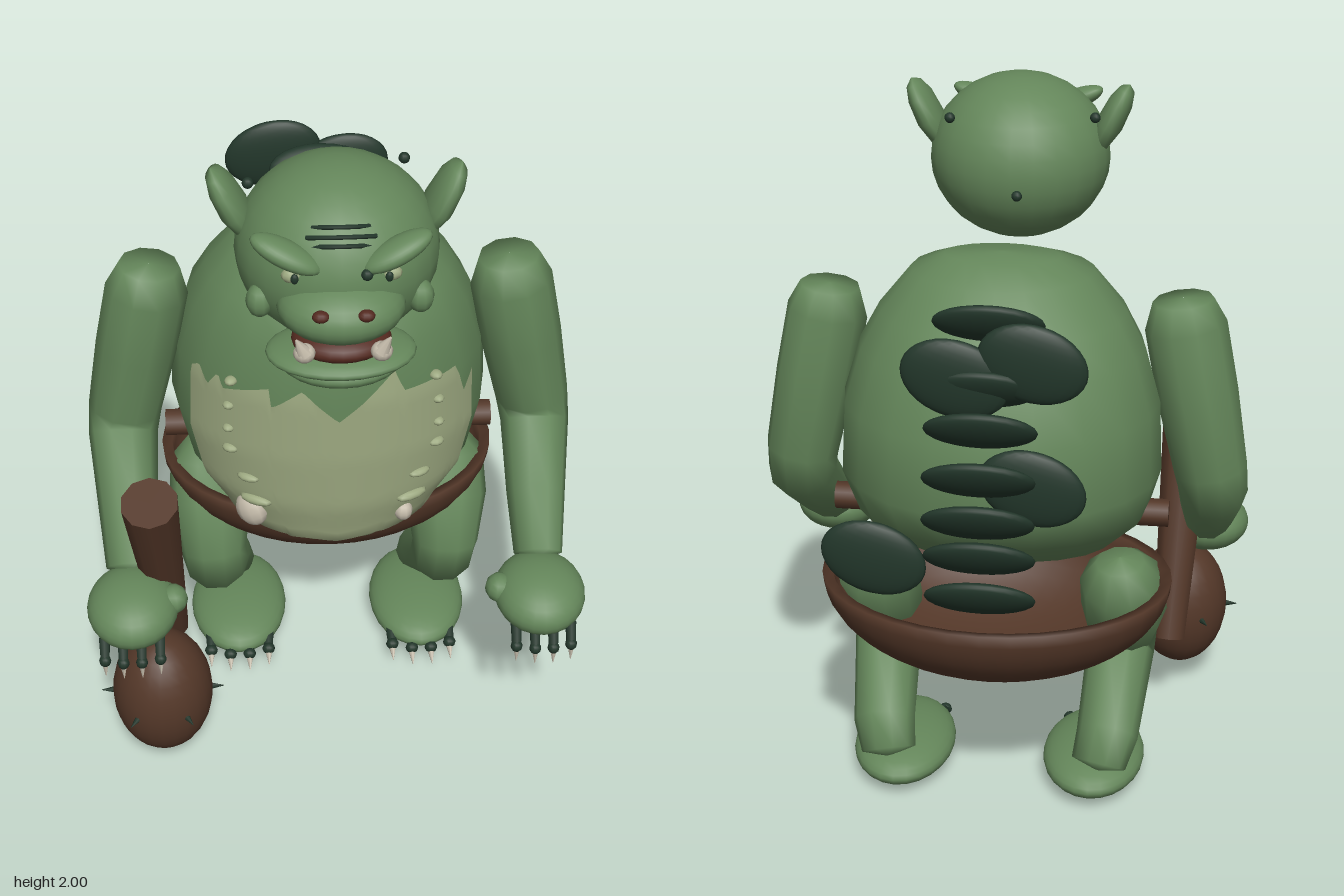
import * as THREE from 'three';

const material = (name, color) => {
  const m = new THREE.MeshStandardMaterial({ color });
  m.name = name;
  return m;
};
const V = (x, y, z) => new THREE.Vector3(x, y, z);

// Skin a list of point rings; rings run upward along the part
function loft(rings, closed) {
  const n = rings[0].length, pos = [], idx = [];
  rings.forEach(r => r.forEach(p => pos.push(p.x, p.y, p.z)));
  for (let i = 0; i < rings.length - 1; i++)
    for (let j = 0; j < (closed ? n : n - 1); j++) {
      const k = (j + 1) % n, a = i * n + j, b = i * n + k, c = a + n, d = b + n;
      idx.push(a, b, c, b, d, c);
    }
  const g = new THREE.BufferGeometry();
  g.setAttribute('position', new THREE.Float32BufferAttribute(pos, 3));
  g.setIndex(idx);
  g.computeVertexNormals();
  return g;
}

// Limb along points [x, y, z, radius]
function limbGeometry(pts, sides = 10) {
  const c = pts.map(p => V(p[0], p[1], p[2]));
  const rings = pts.map((p, i) => {
    const T = c[Math.min(i + 1, c.length - 1)].clone().sub(c[Math.max(i - 1, 0)]).normalize();
    const U = V(1, 0, 0).addScaledVector(T, -T.x).normalize();
    const W = T.clone().cross(U);
    return Array.from({ length: sides }, (_, j) => {
      const a = j / sides * Math.PI * 2;
      return c[i].clone().addScaledVector(U, Math.cos(a) * p[3]).addScaledVector(W, Math.sin(a) * p[3]);
    });
  });
  return loft(rings, true);
}

// Torso sections: height, front z, back z, half width, forward droop
const TORSO = [
  [0.68, 0.051, 0.049, 0.001, 0], [0.69, 0.17, -0.08, 0.17, 0.04], [0.72, 0.235, -0.29, 0.31, 0.05],
  [0.85, 0.272, -0.43, 0.415, 0.03], [1.0, 0.285, -0.5, 0.455, 0], [1.2, 0.285, -0.48, 0.445, 0],
  [1.35, 0.265, -0.42, 0.4, 0], [1.45, 0.235, -0.36, 0.345, 0], [1.56, 0.14, -0.25, 0.255, 0],
  [1.605, 0.02, -0.16, 0.16, 0], [1.615, -0.069, -0.071, 0.001, 0]];
function torsoPoint(a, y, grow = 0) {
  let i = 0;
  while (i < TORSO.length - 2 && y > TORSO[i + 1][0]) i++;
  const A = TORSO[i], B = TORSO[i + 1], t = (y - A[0]) / (B[0] - A[0]);
  const [h, f, b, w, d] = A.map((v, k) => v + (B[k] - v) * t);
  return V((w + grow) * Math.sin(a), h - d * Math.cos(a) - (y < 0.75 ? grow : 0),
    (f + b) / 2 + ((f - b) / 2 + grow) * Math.cos(a));
}

// Ragged upper edge of the belly: x, y
const EDGE = [[-0.4, 1.2], [-0.37, 1.235], [-0.34, 1.19], [-0.32, 1.24], [-0.3, 1.2], [-0.18, 1.24], [-0.17, 1.18],
  [-0.09, 1.245], [0.01, 1.145], [0.17, 1.29], [0.19, 1.22], [0.34, 1.225], [0.36, 1.12], [0.4, 1.2]];
function edgeHeight(x) {
  let i = 0;
  while (i < EDGE.length - 2 && x > EDGE[i + 1][0]) i++;
  const [A, B] = [EDGE[i], EDGE[i + 1]];
  return A[1] + (B[1] - A[1]) * THREE.MathUtils.clamp((x - A[0]) / (B[0] - A[0]), 0, 1);
}

export function createModel() {
  const model = new THREE.Group();
  const skin = material('green skin', 0x64865a), pale = material('pale belly', 0x9ca880);
  const wood = material('brown wood', 0x533728), dark = material('dark leaf', 0x22362a);
  const bone = material('bone', 0xc4bbaa), mouthMat = material('mouth', 0x542a20);
  wood.side = pale.side = THREE.DoubleSide;

  const add = (name, geo, mat) => {
    const m = new THREE.Mesh(geo, mat);
    m.name = name;
    model.add(m);
    return m;
  };
  const unit = new THREE.SphereGeometry(1, 24, 16), small = new THREE.SphereGeometry(1, 10, 8);
  const ball = (name, mat, p, r, rot = [0, 0, 0]) => {
    const m = add(name, Math.max(...r) > 0.06 ? unit : small, mat);
    m.position.set(...p);
    m.scale.set(...r);
    m.rotation.set(...rot);
    return m;
  };
  const rod = (name, mat, a, b, r1, r2, sides = 8) => {
    const A = V(...a), D = V(...b).sub(A);
    const m = add(name, new THREE.CylinderGeometry(r2, r1, D.length(), sides), mat);
    m.position.copy(A).addScaledVector(D, 0.5);
    m.quaternion.setFromUnitVectors(V(0, 1, 0), D.normalize());
    return m;
  };

  // Torso and belly
  add('torso', loft(TORSO.map(r => Array.from({ length: 20 }, (_, j) => torsoPoint(j / 10 * Math.PI, r[0]))), true), skin);
  const rows = 20, cols = 80, bellyRings = [];
  for (let i = 0; i <= rows; i++) {
    bellyRings.push(Array.from({ length: cols + 1 }, (_, j) => {
      const a = (j / cols * 2 - 1) * 1.05, top = edgeHeight(0.445 * Math.sin(a));
      return torsoPoint(a, 0.682 + (top - 0.682) * i / rows, 0.007);
    }));
  }
  add('belly', loft(bellyRings, false), pale);
  for (const s of [-1, 1]) {
    for (const [x, y, w, h] of [[0.29, 1.23, 0.018, 0.012], [0.29, 1.15, 0.018, 0.012], [0.29, 1.07, 0.018, 0.012],
      [0.285, 1.0, 0.025, 0.013], [0.25, 0.92, 0.035, 0.013], [0.24, 0.85, 0.05, 0.016]]) {
      const p = torsoPoint(s * Math.asin(x / 0.45), y);
      ball('bellyFold', pale, [p.x, p.y, p.z + 0.005], [w, h, 0.02], [0, s * 0.5, 0]);
    }
  }
  ball('bellyWart', bone, [-0.235, 0.77, 0.2], [0.048, 0.055, 0.035], [0, -0.5, 0.4]);
  ball('bellyWart', bone, [0.2, 0.755, 0.21], [0.028, 0.032, 0.03]);

  // Bowl-shaped hip wrap and the stick through it
  const profile = [];
  for (let i = 0; i <= 12; i++) {
    const t = i / 12 * Math.PI / 2;
    profile.push(new THREE.Vector2(0.5 * Math.sin(t), -0.29 * Math.cos(t)));
  }
  for (let i = 12; i >= 0; i--) {
    const t = i / 12 * Math.PI / 2;
    profile.push(new THREE.Vector2(0.47 * Math.sin(t), -0.26 * Math.cos(t)));
  }
  const wrap = add('hipWrap', new THREE.LatheGeometry(profile, 36), wood);
  wrap.position.set(0, 0.7, -0.21);
  wrap.scale.z = 0.76;
  rod('beltStick', wood, [-0.48, 0.858, -0.1], [0.48, 0.858, -0.1], 0.04, 0.04, 10);

  // Head
  ball('head', skin, [0, 1.765, 0.345], [0.26, 0.237, 0.255]);
  ball('muzzle', skin, [0, 1.715, 0.535], [0.16, 0.085, 0.135]);
  ball('mouth', mouthMat, [0, 1.625, 0.55], [0.125, 0.042, 0.1]);
  ball('lowerLip', skin, [0, 1.578, 0.54], [0.19, 0.035, 0.125]);
  ball('chin', skin, [0, 1.548, 0.52], [0.16, 0.048, 0.13]);
  for (const s of [-1, 1]) {
    ball('nostril', mouthMat, [s * 0.055, 1.752, 0.645], [0.022, 0.015, 0.018]);
    ball('cheek', skin, [s * 0.2, 1.7, 0.49], [0.035, 0.045, 0.04]);
    ball('eye', pale, [s * 0.12, 1.815, 0.555], [0.028, 0.02, 0.02]);
    ball('pupil', dark, [s * 0.115, 1.815, 0.573], [0.01, 0.014, 0.008]);
    ball('brow', skin, [s * 0.135, 1.873, 0.55], [0.095, 0.03, 0.045], [0, s * 0.25, s * 0.42]);
    ball('tuskBase', bone, [s * 0.095, 1.635, 0.63], [0.028, 0.026, 0.025]);
    rod('tusk', bone, [s * 0.095, 1.64, 0.635], [s * 0.115, 1.685, 0.645], 0.022, 0.003);
    // Pointed ear
    const ear = add('ear', limbGeometry([[0, -0.11, 0, 0.001], [0, -0.09, 0, 0.05], [0, -0.02, 0, 0.078],
      [0, 0.05, 0, 0.07], [0, 0.09, 0, 0.045], [0, 0.108, 0, 0.001]], 14), skin);
    ear.position.set(s * 0.265, 1.885, 0.325);
    ear.scale.x = 0.5;
    ear.rotation.z = -s * 0.45;
  }
  for (const [y, z, w] of [[1.897, 0.558, 0.07], [1.915, 0.545, 0.085], [1.933, 0.528, 0.07]]) {
    const curve = new THREE.QuadraticBezierCurve3(V(-w, y - 0.01, z - 0.015), V(0, y + 0.01, z + 0.02), V(w, y - 0.01, z - 0.015));
    add('foreheadWrinkle', new THREE.TubeGeometry(curve, 10, 0.006, 5), dark);
  }
  for (const p of [[-0.02, 1.72, 0.085], [0.18, 1.91, 0.18], [-0.22, 1.9, 0.265], [0.06, 1.83, 0.585]])
    ball('headWart', dark, p, [0.015, 0.015, 0.015]);

  // Limbs, mirrored
  for (const s of [-1, 1]) {
    const side = pts => pts.map(([x, y, z, r]) => [x * s, y, z, r]);
    add('arm', limbGeometry(side([[0.495, 1.48, -0.015, 0.001], [0.495, 1.475, -0.015, 0.085], [0.505, 1.4, -0.015, 0.115],
      [0.545, 1.2, -0.025, 0.115], [0.59, 0.98, -0.035, 0.105], [0.6, 0.9, -0.01, 0.1],
      [0.59, 0.76, 0.16, 0.085], [0.585, 0.65, 0.3, 0.07], [0.585, 0.64, 0.31, 0.001]])), skin);
    ball('hand', skin, [s * 0.58, 0.592, 0.4], [0.13, 0.085, 0.145], [0.1, 0, 0]);
    ball('thumb', skin, [s * 0.465, 0.61, 0.395], [0.042, 0.042, 0.045]);
    for (let i = 0; i < 4; i++) {
      const x = s * (0.505 + i * 0.052), z = 0.5 - Math.abs(i - 1.5) * 0.012;
      rod('finger', dark, [x, 0.55, z], [x, 0.495, z + 0.035], 0.017, 0.014, 6);
      ball('knuckle', dark, [x, 0.495, z + 0.035], [0.017, 0.018, 0.018]);
      rod('fingerClaw', bone, [x, 0.49, z + 0.035], [x, 0.445, z + 0.045], 0.011, 0.001, 6);
    }
    add('leg', limbGeometry(side([[0.35, 0.75, -0.18, 0.001], [0.35, 0.735, -0.18, 0.07], [0.355, 0.67, -0.165, 0.12],
      [0.36, 0.55, -0.1, 0.125], [0.355, 0.43, -0.02, 0.1], [0.35, 0.37, -0.04, 0.1],
      [0.33, 0.2, -0.25, 0.09], [0.31, 0.13, -0.3, 0.08], [0.31, 0.11, -0.31, 0.001]])), skin);
    ball('foot', skin, [s * 0.285, 0.073, -0.155], [0.15, 0.066, 0.225]);
    for (let i = 0; i < 4; i++) {
      const x = s * (0.195 + i * 0.06), z = 0.045 - Math.abs(i - 1.5) * 0.02;
      rod('toe', dark, [x, 0.075, z - 0.03], [x, 0.055, z + 0.04], 0.02, 0.014, 6);
      ball('toeKnuckle', dark, [x, 0.058, z + 0.035], [0.02, 0.018, 0.018]);
      rod('toeClaw', bone, [x, 0.05, z + 0.04], [x, 0.035, z + 0.085], 0.012, 0.001, 6);
    }
  }

  // Club: handle, heavy head and thorns
  rod('clubHandle', wood, [-0.485, 0.295, 0.17], [-0.512, 0.99, 0.42], 0.05, 0.08, 10);
  ball('clubHead', wood, [-0.51, 0.285, 0.425], [0.145, 0.205, 0.145]);
  for (let i = 0; i < 6; i++) {
    const a = i / 6 * Math.PI * 2, c = Math.cos(a), d = Math.sin(a);
    rod('clubThorn', dark, [-0.51 + c * 0.13, 0.285, 0.425 + d * 0.13], [-0.51 + c * 0.178, 0.285, 0.425 + d * 0.178], 0.012, 0.001, 6);
  }

  // Leaves: upswept column down the back, then broad ones facing backward
  for (const [y, z] of [[1.53, -0.4], [1.41, -0.555], [1.3, -0.57], [1.18, -0.615], [1.065, -0.63], [0.95, -0.61], [0.825, -0.6]])
    ball('backLeaf', dark, [-0.005, y, z], [0.15, 0.028, 0.075], [0.95, 0, 0]);
  for (const [x, y] of [[-0.14, 1.49], [0.06, 1.44], [-0.14, 1.14], [0.285, 0.91]])
    ball('broadLeaf', dark, [x, y, -0.565], [0.145, 0.105, 0.032], [0, 0, 0.3]);
  return model;
}
